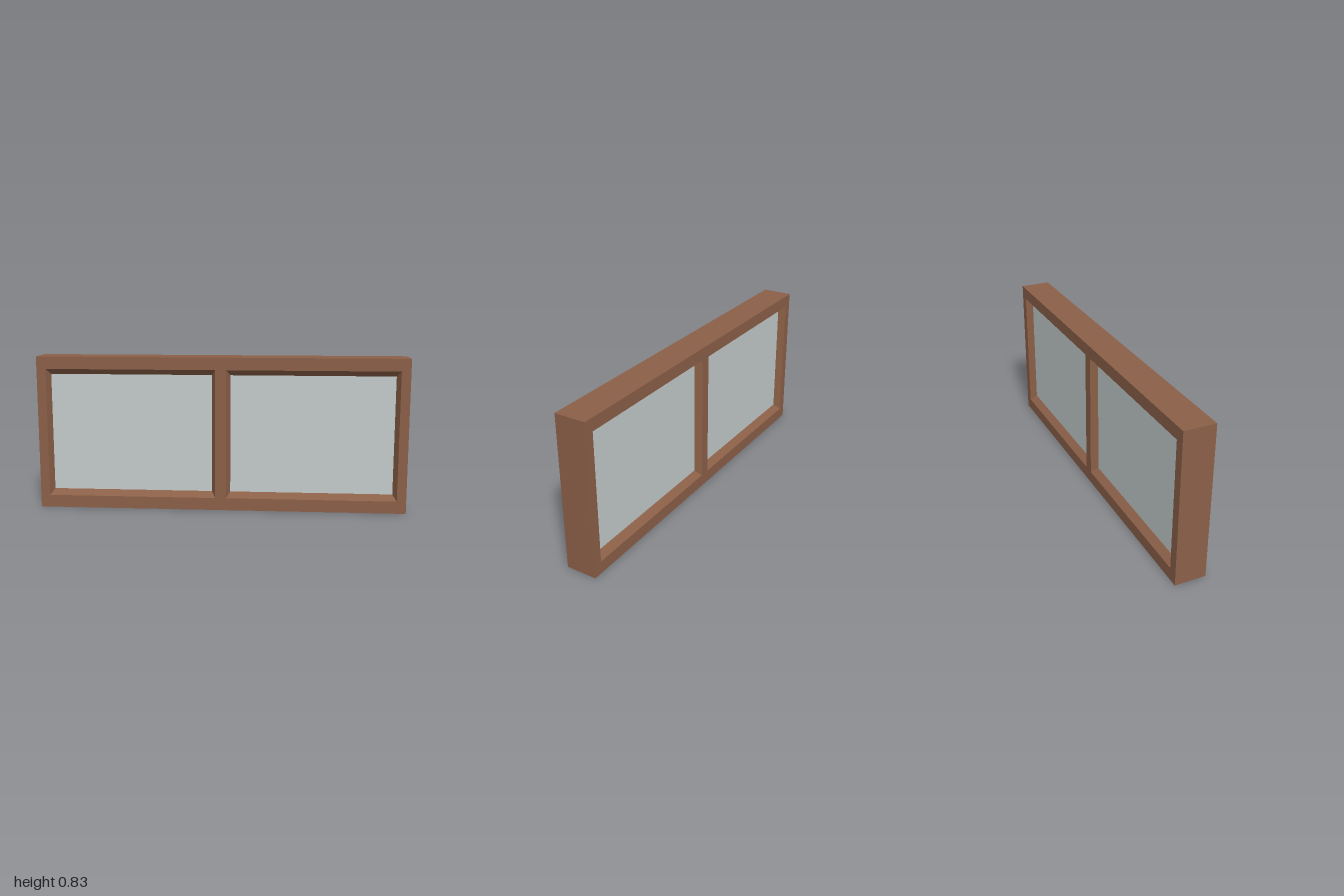
import * as THREE from 'three';

const HEIGHT = 0.835, DEPTH = 0.167;
const PANE_Z = 0.046;            // half thickness of the glazing
const BEVEL_X = 0.02, BEVEL_Y = 0.03;

const wood = new THREE.MeshStandardMaterial({ name: 'brown wood', color: 0x8b6048 });
const glass = new THREE.MeshStandardMaterial({ name: 'pale grey glass', color: 0xc3cccb });

// Rectangle corners, counter-clockwise seen from the front
const corners = (o, dx = 0, dy = 0) => [
  [o.x0 + dx, o.y0 + dy], [o.x1 - dx, o.y0 + dy],
  [o.x1 - dx, o.y1 - dy], [o.x0 + dx, o.y1 - dy],
];

// Mitred bevel lining an opening, lofted through four rectangular rings
function bevelGeometry(o) {
  const outer = corners(o), inner = corners(o, BEVEL_X, BEVEL_Y);
  const rings = [[outer, DEPTH / 2], [inner, PANE_Z], [inner, -PANE_Z], [outer, -DEPTH / 2]];
  const pos = [];
  for (let r = 0; r < 3; r++) {
    const [p, zp] = rings[r], [q, zq] = rings[r + 1];
    for (let i = 0; i < 4; i++) {
      const j = (i + 1) % 4;
      const a = [...p[i], zp], b = [...p[j], zp], c = [...q[j], zq], d = [...q[i], zq];
      pos.push(...a, ...b, ...c, ...a, ...c, ...d);
    }
  }
  const g = new THREE.BufferGeometry();
  g.setAttribute('position', new THREE.Float32BufferAttribute(pos, 3));
  g.computeVertexNormals();
  return g;
}

export function createModel() {
  const group = new THREE.Group();
  group.name = 'window';
  const add = (name, geometry, material) => {
    const m = new THREE.Mesh(geometry, material);
    m.name = name;
    group.add(m);
    return m;
  };

  const openings = [
    { side: 'right', x0: -0.95, x1: -0.03, y0: 0.067, y1: 0.768 },
    { side: 'left', x0: 0.03, x1: 0.95, y0: 0.067, y1: 0.768 },
  ];

  // Outer frame and central mullion in one piece
  const toPoints = (list) => list.map(([x, y]) => new THREE.Vector2(x, y));
  const shape = new THREE.Shape(toPoints(corners({ x0: -1, x1: 1, y0: 0, y1: HEIGHT })));
  for (const o of openings) shape.holes.push(new THREE.Path(toPoints(corners(o).reverse())));
  const frame = new THREE.ExtrudeGeometry(shape, { depth: DEPTH, bevelEnabled: false });
  frame.translate(0, 0, -DEPTH / 2);
  add('frame', frame, wood);

  for (const o of openings) {
    // Sloped reveal around the opening
    add(`${o.side}Bevel`, bevelGeometry(o), wood);
    // Glazing
    const pane = add(`${o.side}Pane`, new THREE.BoxGeometry(
      o.x1 - o.x0 - 2 * BEVEL_X, o.y1 - o.y0 - 2 * BEVEL_Y, 2 * PANE_Z), glass);
    pane.position.set((o.x0 + o.x1) / 2, (o.y0 + o.y1) / 2, 0);
  }
  return group;
}
